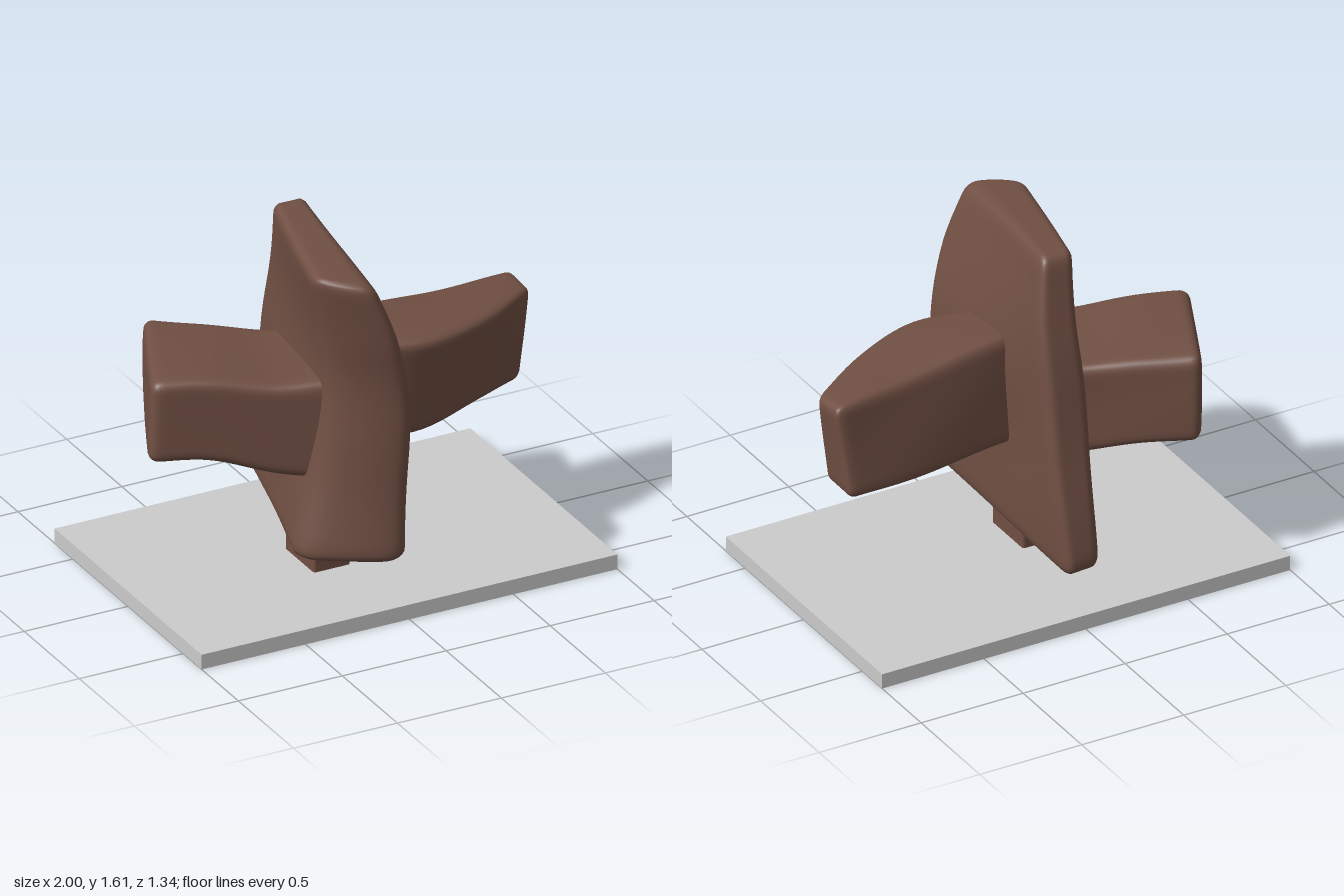
import * as THREE from 'three';
import { mergeVertices } from 'three/addons/utils/BufferGeometryUtils.js';

const clay = new THREE.MeshStandardMaterial({ color: 0x704f43 });
const grey = new THREE.MeshStandardMaterial({ color: 0xcccccc });

// Soft-edged block: a rounded box warped through four-cornered sections.
// Corner order per section: (-u,-v), (+u,-v), (+u,+v), (-u,+v), sections follow t.
// bulge swells (+) or hollows (-) the +v face along its middle.
function softBlock(name, sections, size, radius, { lump = 0.005, bulge = 0 } = {}) {
  const rails = [0, 1, 2, 3].map((i) => new THREE.CatmullRomCurve3(
    sections.map((s) => new THREE.Vector3(...s[i])), false, 'catmullrom', 0.5));
  let geo = new THREE.BoxGeometry(2, 2, 2, 20, 28, 20);
  geo.deleteAttribute('normal');
  geo.deleteAttribute('uv');
  geo = mergeVertices(geo, 1e-4);

  const half = new THREE.Vector3(...size).multiplyScalar(0.5);
  const inner = half.clone().subScalar(radius);
  const innerMin = inner.clone().negate();
  const pos = geo.attributes.position;
  const p = new THREE.Vector3();
  for (let i = 0; i < pos.count; i++) {
    p.fromBufferAttribute(pos, i);
    // crowd the grid towards the edges, then round them
    p.set(...p.toArray().map((c) => Math.sin(c * Math.PI / 2))).multiply(half);
    const core = p.clone().clamp(innerMin, inner);
    p.sub(core).setLength(radius).add(core).divide(half);

    // blend the four rails
    const u = (p.x + 1) / 2;
    const v = (p.z + 1) / 2 * (1 + bulge * (1 - p.x * p.x));
    const t = THREE.MathUtils.clamp((p.y + 1) / 2, 0, 1);
    const [a, b, c, d] = rails.map((r) => r.getPoint(t));
    const q = a.lerp(b, u).lerp(d.lerp(c, u), v);

    // gentle hand-modelled unevenness
    const { x, y, z } = q;
    q.x += lump * Math.sin(7 * y + 5 * z);
    q.y += lump * Math.sin(9 * x + 6 * z + 1);
    q.z += lump * Math.sin(8 * y + 6 * x + 2);
    pos.setXYZ(i, q.x, q.y, q.z);
  }
  geo.computeVertexNormals();
  const mesh = new THREE.Mesh(geo, clay);
  mesh.name = name;
  return mesh;
}

export function createModel() {
  const group = new THREE.Group();
  group.name = 'sculpture';

  // Flat plinth
  const plinth = new THREE.Mesh(new THREE.BoxGeometry(2, 0.07, 1.335), grey);
  plinth.name = 'plinth';
  plinth.position.y = 0.035;
  group.add(plinth);

  // Short square post, flaring slightly where it meets the slab
  const post = [[0.05, 0], [0.13, 0], [0.2, 0.004], [0.27, 0.03]].map(([y, f]) => [
    [-0.22, y, -0.05 - f], [-0.045, y, -0.05 - f],
    [-0.045, y, 0.215 + f], [-0.22, y, 0.215 + f]]);
  group.add(softBlock('post', post, [0.18, 0.22, 0.26], 0.012, { lump: 0 }));

  // Tall bowed and twisted slab with a swollen front edge, bottom to top
  group.add(softBlock('slab', [
    [[-0.12, 0.21, -0.58], [0.045, 0.205, -0.58], [0.055, 0.225, 0.605], [-0.41, 0.23, 0.36]],
    [[-0.14, 0.6, -0.505], [0.045, 0.6, -0.505], [0.07, 0.6, 0.56], [-0.3, 0.6, 0.37]],
    [[-0.15, 1, -0.42], [0.05, 1, -0.42], [0.08, 1, 0.575], [-0.24, 1, 0.37]],
    [[-0.15, 1.3, -0.35], [0.035, 1.3, -0.35], [0.01, 1.28, 0.595], [-0.26, 1.28, 0.39]],
    [[-0.165, 1.62, -0.275], [-0.01, 1.62, -0.275], [-0.11, 1.56, 0.56], [-0.33, 1.575, 0.4]],
  ], [0.26, 1.38, 1.0], 0.06, { bulge: 0.04 }));

  // Left arm, tapering outwards, its front face hollowed; runs base to tip
  group.add(softBlock('leftArm', [
    [[0, 0.63, -0.1], [0, 0.635, 0.22], [0, 1.125, 0.26], [0, 1.15, -0.06]],
    [[0.3, 0.63, -0.14], [0.3, 0.63, 0.24], [0.28, 1.115, 0.335], [0.3, 1.14, -0.09]],
    [[0.6, 0.64, -0.18], [0.6, 0.64, 0.15], [0.6, 1.085, 0.225], [0.6, 1.11, -0.12]],
    [[0.9, 0.655, -0.215], [0.885, 0.64, 0.02], [0.925, 1.07, 0.02], [0.925, 1.08, -0.15]],
  ].map(([backLow, frontLow, frontTop, backTop]) => [frontLow, frontTop, backTop, backLow]),
  [0.46, 0.92, 0.3], 0.045));

  // Right arm, broad and swung backwards, base to tip
  group.add(softBlock('rightArm', [
    [[-0.06, 0.59, -0.19], [-0.06, 1.03, -0.19], [-0.14, 1.02, 0.34], [-0.14, 0.53, 0.34]],
    [[-0.25, 0.61, -0.3], [-0.25, 1.03, -0.3], [-0.4, 1.02, 0.25], [-0.38, 0.58, 0.25]],
    [[-0.46, 0.64, -0.42], [-0.46, 1.05, -0.42], [-0.66, 1.05, 0.15], [-0.66, 0.66, 0.15]],
    [[-0.65, 0.66, -0.53], [-0.65, 1.08, -0.52], [-0.925, 1.065, 0.06], [-0.935, 0.685, 0.06]],
  ], [0.4, 0.78, 0.6], 0.05));

  return group;
}
